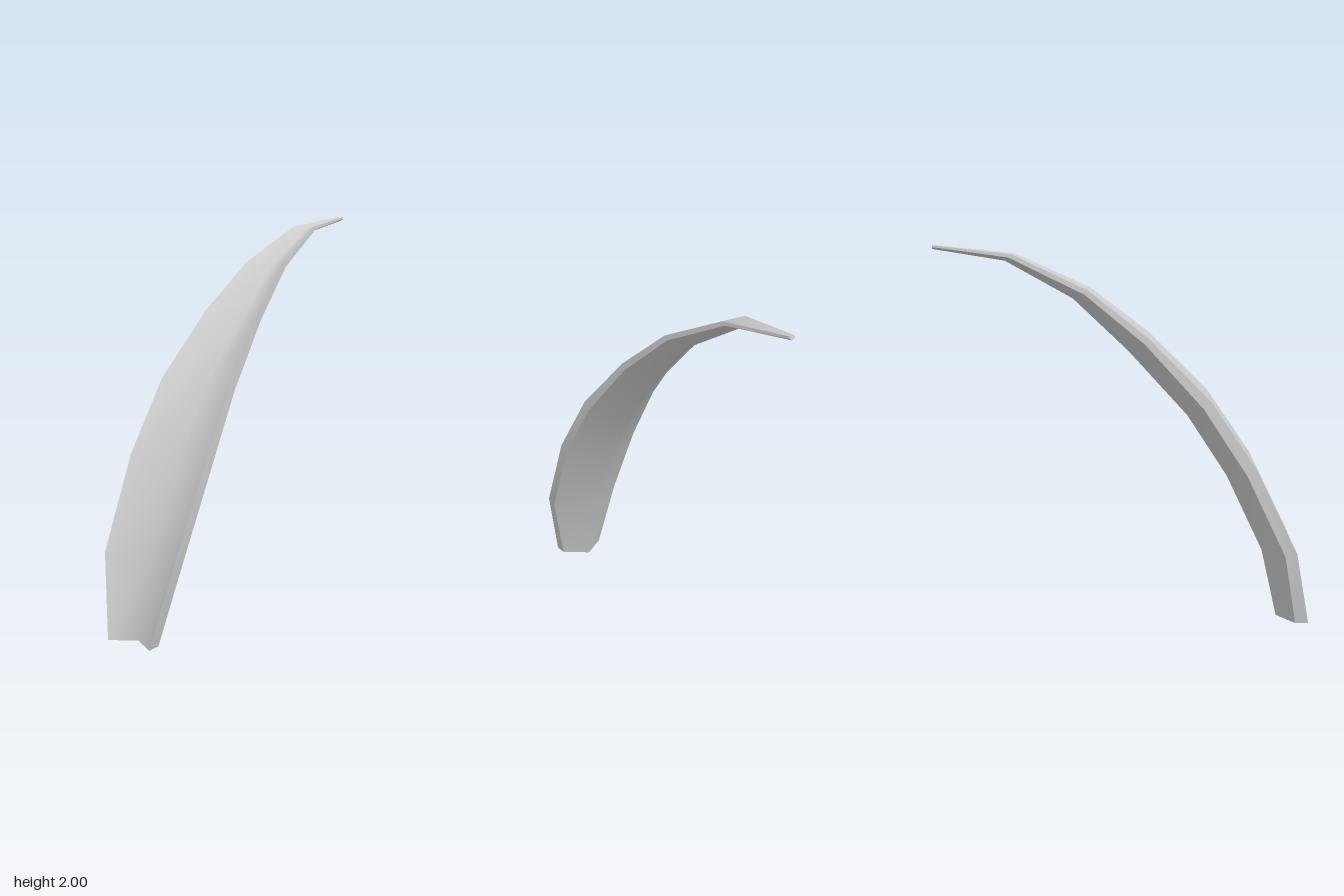
import * as THREE from 'three';

// Stations from base to tip: centre x, half width, then [z, y] of the
// front rim, the back rim and the back ridge.
const STATIONS = [
  [-0.017, 0.128, [0.99, 0], [0.92, 0], [0.83, 0]],
  [-0.01, 0.212, [0.91, 0.41], [0.85, 0.39], [0.745, 0.37]],
  [-0.002, 0.228, [0.69, 0.86], [0.64, 0.83], [0.55, 0.78]],
  [-0.005, 0.21, [0.45, 1.215], [0.41, 1.18], [0.335, 1.11]],
  [-0.004, 0.168, [0.13, 1.535], [0.11, 1.505], [0.025, 1.45]],
  [-0.003, 0.118, [-0.18, 1.775], [-0.2, 1.755], [-0.265, 1.725]],
  [-0.003, 0.066, [-0.57, 1.955], [-0.59, 1.94], [-0.615, 1.92]],
  [-0.003, 0.015, [-0.985, 2], [-0.988, 1.99], [-0.99, 1.98]],
];

// Six-point chevron section: left rim, front valley, right rim,
// right back rim, back ridge, left back rim (as seen from the front)
function section([cx, w, rim, back, ridge]) {
  const valley = rim.map((v, i) => ridge[i] + 1.2 * (v - back[i]));
  const p = (x, [z, y]) => [x, y, z];
  return [
    p(cx - w, rim), p(cx, valley), p(cx + w, rim),
    p(cx + w, back), p(cx, ridge), p(cx - w, back),
  ];
}

function mesh(name, points, index, material) {
  const g = new THREE.BufferGeometry();
  g.setAttribute('position', new THREE.Float32BufferAttribute(points.flat(), 3));
  g.setIndex(index);
  g.computeVertexNormals();
  const m = new THREE.Mesh(g, material);
  m.name = name;
  return m;
}

// Smooth strip running the whole length through the chosen section points
function strip(name, rings, columns, material) {
  const n = columns.length;
  const points = rings.flatMap((r) => columns.map((c) => r[c]));
  const index = [];
  for (let i = 0; i < rings.length - 1; i++) {
    for (let j = 0; j < n - 1; j++) {
      const a = i * n + j, b = a + 1, c = a + n, d = c + 1;
      index.push(a, b, d, a, d, c);
    }
  }
  return mesh(name, points, index, material);
}

export function createModel() {
  const group = new THREE.Group();
  group.name = 'curvedLeaf';
  const material = new THREE.MeshStandardMaterial({ color: 0xcccccc });
  const rings = STATIONS.map(section);

  // Front, back and the two thin edges
  group.add(
    strip('frontFace', rings, [0, 1, 2], material),
    strip('leftEdge', rings, [2, 3], material),
    strip('backFace', rings, [3, 4, 5], material),
    strip('rightEdge', rings, [5, 0], material),
  );

  // End caps
  const cap = [0, 1, 4, 0, 4, 5, 1, 2, 3, 1, 3, 4];
  group.add(
    mesh('baseCap', rings[0], [...cap].reverse(), material),
    mesh('tipCap', rings[rings.length - 1], cap, material),
  );
  return group;
}
